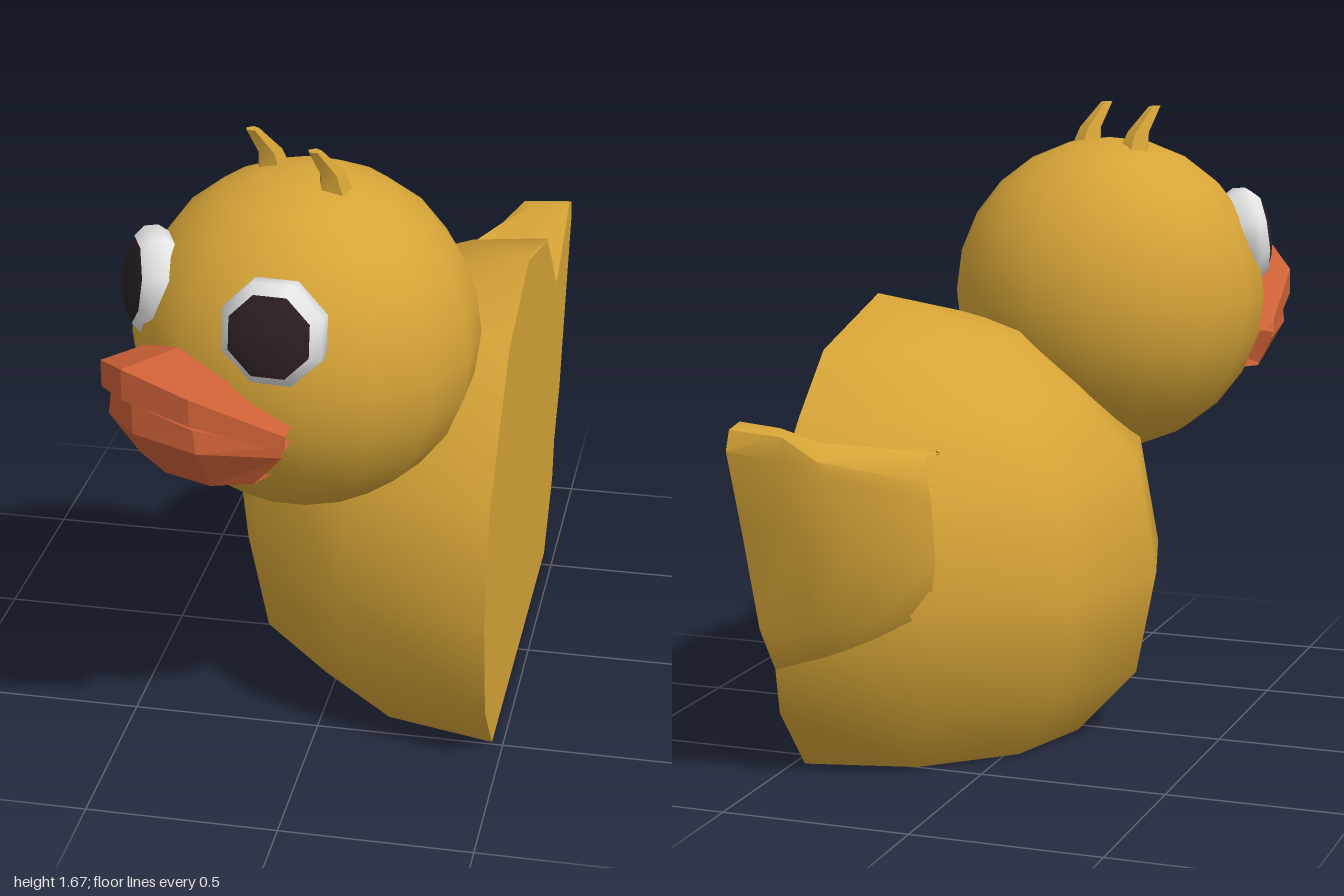
import * as THREE from 'three';
import { toCreasedNormals } from 'three/addons/utils/BufferGeometryUtils.js';

const material = (name, color, side = THREE.FrontSide) => {
  const m = new THREE.MeshStandardMaterial({ color, side });
  m.name = name;
  return m;
};

// Surface through rows of points; crease is the angle above which edges stay sharp
function surface(rows, crease) {
  const n = rows[0].length, index = [];
  for (let i = 0; i < rows.length - 1; i++) {
    for (let j = 0; j < n - 1; j++) {
      const a = i * n + j, b = a + n;
      index.push(a, b, a + 1, a + 1, b, b + 1);
    }
  }
  const g = new THREE.BufferGeometry();
  g.setAttribute('position', new THREE.Float32BufferAttribute(rows.flat(2), 3));
  g.setIndex(index);
  return toCreasedNormals(g, crease);
}

// Mirrored five-point row from corner, side and centre given as [x, y, z]
const mirrorRow = (corner, side, centre) => {
  const flip = ([x, y, z]) => [-x, y, z];
  return [flip(corner), flip(side), centre, side, corner];
};

const lathe = (points, segments, start = 0, length = Math.PI * 2) =>
  new THREE.LatheGeometry(points.map(([x, y]) => new THREE.Vector2(x, y)), segments, start, length);

export function createModel() {
  const gold = material('gold', 0xd6a437);
  const orange = material('orange', 0xcc6036, THREE.DoubleSide);
  const white = material('white', 0xe4e4e4);
  const black = material('black', 0x2c2125);
  const model = new THREE.Group();
  const add = (parent, name, geometry, mat) => {
    const mesh = new THREE.Mesh(geometry, mat);
    mesh.name = name;
    parent.add(mesh);
    return mesh;
  };

  // Rounded half body with flat base
  const bodyProfile = [[0, 0], [0.53, 0], [0.68, 0.18], [0.73, 0.46], [0.68, 0.76],
    [0.53, 0.93], [0.37, 1.08], [0, 1.18]];
  const bodyGeometry = lathe(bodyProfile, 6, Math.PI, Math.PI);
  bodyGeometry.scale(1.096, 1, 1).translate(0.47, 0, -0.04);
  add(model, 'body', toCreasedNormals(bodyGeometry, 0.8), gold);

  // Flat cut side, including the tail outline
  const outline = [[0.49, 0], [0.64, 0.18], [0.69, 0.46], [0.64, 0.76], [0.49, 0.93], [0.34, 1.08],
    [0, 1.18], [-0.4, 1.08], [-0.57, 0.93], [-0.64, 0.85], [-0.69, 0.85], [-0.92, 0.98], [-0.98, 0.97],
    [-1, 0.92], [-0.92, 0.7], [-0.83, 0.43], [-0.74, 0.3], [-0.72, 0.18], [-0.57, 0]];
  const cut = new THREE.ShapeGeometry(new THREE.Shape(outline.map(([z, y]) => new THREE.Vector2(-z, y))));
  cut.rotateY(Math.PI / 2).translate(0.47, 0, 0);
  add(model, 'flatSide', cut, gold);

  // Upturned tail: rows run from the cut side outwards, valley to ridge to underside
  const tailRows = [
    [[0.47, 0.85, -0.64], [0.36, 0.84, -0.61], [0.25, 0.83, -0.57], [0.15, 0.82, -0.5], [0.18, 0.8, -0.42]],
    [[0.47, 0.85, -0.69], [0.36, 0.85, -0.68], [0.24, 0.85, -0.66], [0.08, 0.86, -0.57], [0.18, 0.85, -0.42]],
    [[0.47, 0.98, -0.92], [0.36, 0.97, -0.92], [0.28, 0.93, -0.87], [0.1, 0.86, -0.62], [0.18, 0.82, -0.42]],
    [[0.47, 0.97, -0.98], [0.33, 0.96, -0.98], [0.27, 0.89, -0.91], [0.08, 0.8, -0.66], [0.18, 0.78, -0.42]],
    [[0.47, 0.92, -1], [0.34, 0.9, -0.98], [0.26, 0.85, -0.89], [0.07, 0.75, -0.66], [0.18, 0.74, -0.42]],
    [[0.47, 0.7, -0.92], [0.34, 0.69, -0.87], [0.21, 0.66, -0.79], [0.06, 0.6, -0.66], [0.18, 0.6, -0.42]],
    [[0.47, 0.43, -0.83], [0.34, 0.43, -0.79], [0.2, 0.44, -0.73], [0.08, 0.45, -0.66], [0.18, 0.42, -0.42]],
    [[0.47, 0.3, -0.74], [0.34, 0.32, -0.7], [0.22, 0.34, -0.65], [0.12, 0.36, -0.59], [0.18, 0.34, -0.42]],
  ];
  add(model, 'tail', surface(tailRows, 0.7), gold);

  // Head, turned to one side; its parts are placed around the head centre
  const head = new THREE.Group();
  head.name = 'headGroup';
  head.position.set(-0.03, 1.14, 0.46);
  head.rotation.y = -0.6;
  model.add(head);
  add(head, 'head', new THREE.SphereGeometry(0.44, 16, 12), gold);

  // Beak halves
  const upper = [
    mirrorRow([0.27, -0.06, 0.3], [0.15, 0.04, 0.36], [0, 0.09, 0.38]),
    mirrorRow([0.3, -0.07, 0.36], [0.16, 0.04, 0.54], [0, 0.09, 0.61]),
    mirrorRow([0.3, -0.11, 0.36], [0.16, -0.03, 0.54], [0, 0.01, 0.61]),
    mirrorRow([0.26, -0.1, 0.3], [0.14, -0.06, 0.36], [0, -0.04, 0.38]),
  ];
  const lower = [
    mirrorRow([0.26, -0.12, 0.3], [0.14, -0.09, 0.36], [0, -0.08, 0.38]),
    mirrorRow([0.29, -0.1, 0.36], [0.15, -0.05, 0.52], [0, -0.01, 0.58]),
    mirrorRow([0.29, -0.13, 0.36], [0.16, -0.11, 0.52], [0, -0.09, 0.58]),
    mirrorRow([0.21, -0.22, 0.38], [0.13, -0.23, 0.45], [0, -0.23, 0.48]),
    mirrorRow([0.2, -0.22, 0.28], [0.12, -0.24, 0.3], [0, -0.25, 0.3]),
  ];
  add(head, 'upperBeak', surface(upper, 0.1), orange);
  add(head, 'lowerBeak', surface(lower, 0.1), orange);

  for (const s of [-1, 1]) {
    const side = s > 0 ? 'left' : 'right';

    // Eye disc and pupil
    const eye = new THREE.Group();
    eye.name = side + 'Eye';
    eye.position.set(s * 0.22, 0.165, 0.315);
    eye.rotation.set(-0.14, s * 0.53, 0, 'YXZ');
    head.add(eye);
    const rim = lathe([[0.11, -0.06], [0.138, -0.01], [0.134, 0.025], [0.108, 0.05]], 8, Math.PI / 8);
    const pupil = lathe([[0.11, 0.048], [0.07, 0.064], [0, 0.068]], 8, Math.PI / 8);
    add(eye, side + 'EyeWhite', rim.rotateX(Math.PI / 2), white);
    add(eye, side + 'Pupil', pupil.rotateX(Math.PI / 2), black);

    // Feather tuft, bent forward towards its tip
    const tuft = new THREE.CylinderGeometry(0.018, 0.05, 0.14, 5, 2);
    const p = tuft.attributes.position;
    for (let i = 0; i < p.count; i++) {
      const t = p.getY(i) / 0.14 + 0.5;
      p.setZ(i, p.getZ(i) + 0.075 * t * t);
      p.setX(i, p.getX(i) * 0.9);
    }
    const mesh = add(head, side + 'Tuft', toCreasedNormals(tuft, 0.7), gold);
    mesh.position.set(s * 0.11, 0.46, 0);
  }
  return model;
}
